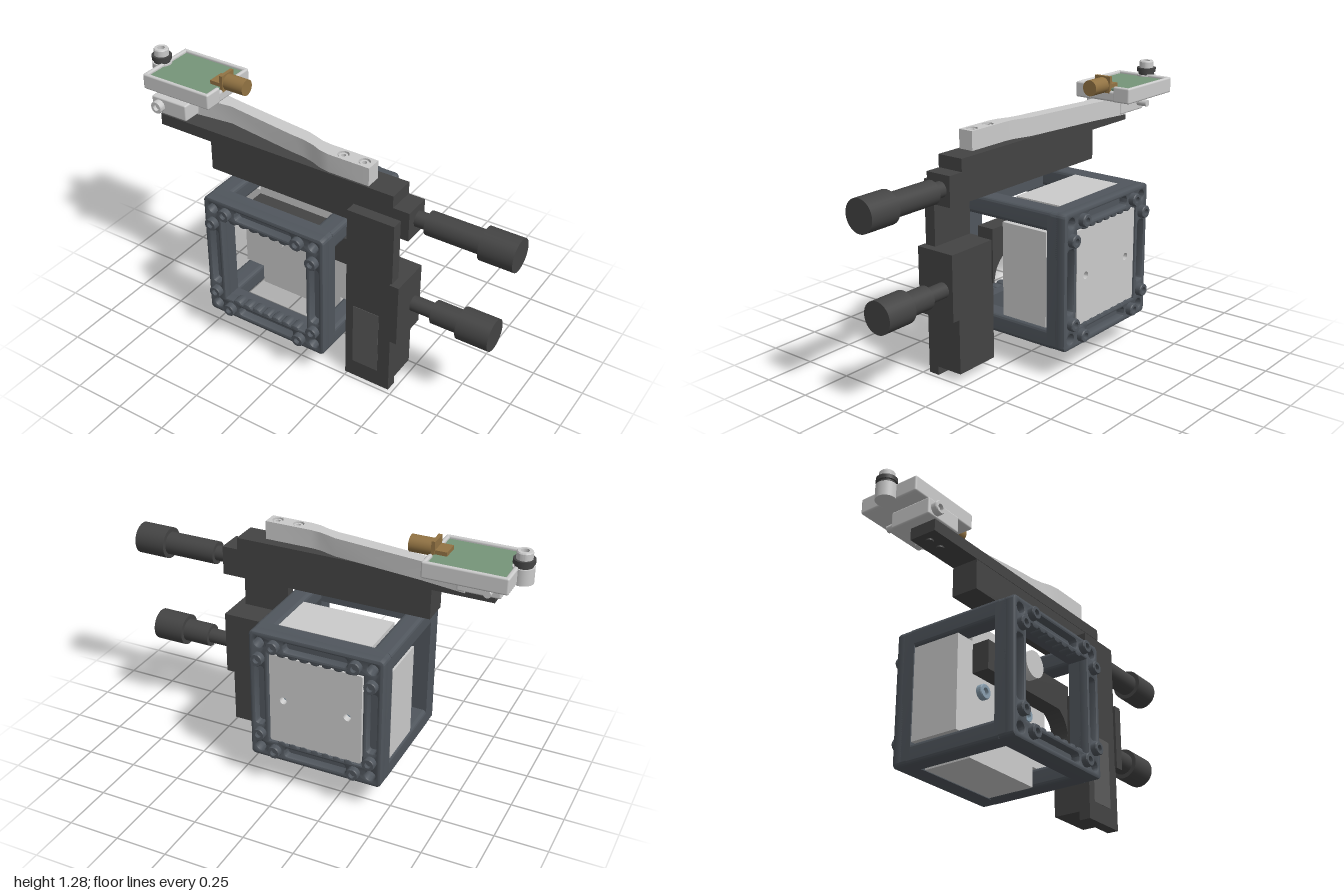
import * as THREE from 'three';
import { RoundedBoxGeometry } from 'three/addons/geometries/RoundedBoxGeometry.js';
import { toCreasedNormals } from 'three/addons/utils/BufferGeometryUtils.js';

const paint = (color) => new THREE.MeshStandardMaterial({ color });
const light = paint(0xcccccc), dark = paint(0x444444), frame = paint(0x50565d);
const steel = paint(0x8aa0b0), brass = paint(0x927343), green = paint(0x769579);

function add(parent, name, geometry, material, x = 0, y = 0, z = 0) {
  const mesh = new THREE.Mesh(geometry, material);
  mesh.name = name;
  mesh.position.set(x, y, z);
  parent.add(mesh);
  return mesh;
}

// Box given by its limits on each axis, optionally with rounded edges
function box(parent, name, material, [x0, x1], [y0, y1], [z0, z1], r = 0) {
  const size = [x1 - x0, y1 - y0, z1 - z0];
  const geometry = r ? new RoundedBoxGeometry(...size, 2, r) : new THREE.BoxGeometry(...size);
  return add(parent, name, geometry, material, (x0 + x1) / 2, (y0 + y1) / 2, (z0 + z1) / 2);
}

// Cylinder running from a to b along one axis; u, v are the other two coordinates in xyz order
function rod(parent, name, material, axis, a, b, r, u, v) {
  const geometry = new THREE.CylinderGeometry(r, r, b - a, 32);
  const m = (a + b) / 2;
  if (axis === 'x') return add(parent, name, geometry.rotateZ(-Math.PI / 2), material, m, u, v);
  if (axis === 'z') return add(parent, name, geometry.rotateX(Math.PI / 2), material, u, v, m);
  return add(parent, name, geometry, material, u, m, v);
}

// Socket-head screw pointing along +z, standing on z = 0
function screwHead(r, h) {
  const profile = [[r, 0], [r, h * 0.85], [r * 0.9, h], [r * 0.5, h], [r * 0.5, h * 0.4], [0, h * 0.4]];
  const geometry = new THREE.LatheGeometry(profile.map((p) => new THREE.Vector2(...p)), 24);
  return toCreasedNormals(geometry.rotateX(Math.PI / 2), 0.5);
}

function roundedRect(path, x0, y0, x1, y1, r) {
  path.moveTo(x0 + r, y0);
  path.lineTo(x1 - r, y0).absarc(x1 - r, y0 + r, r, -Math.PI / 2, 0);
  path.lineTo(x1, y1 - r).absarc(x1 - r, y1 - r, r, 0, Math.PI / 2);
  path.lineTo(x0 + r, y1).absarc(x0 + r, y1 - r, r, Math.PI / 2, Math.PI);
  path.lineTo(x0, y0 + r).absarc(x0 + r, y0 + r, r, Math.PI, Math.PI * 1.5);
  return path;
}

const circle = (x, y, r) => new THREE.Path().absarc(x, y, r, 0, Math.PI * 2);
const polygon = (points) => new THREE.Shape(points.map((p) => new THREE.Vector2(...p)));

function extrude(shape, depth, bevel = 0) {
  return toCreasedNormals(new THREE.ExtrudeGeometry(shape, {
    depth: depth - 2 * bevel, bevelEnabled: bevel > 0, bevelThickness: bevel, bevelSize: bevel,
    bevelOffset: -bevel, bevelSegments: 2, curveSegments: 10,
  }).translate(0, 0, bevel), 0.5);
}

const SIGNS = [-1, 1];
const CORNERS = [[-1, -1], [1, -1], [1, 1], [-1, 1]];

// Square face of the cage: window, rod holes, and on the outer layer slots and shallow scallops
function faceShape(outer) {
  const shape = roundedRect(new THREE.Shape(), -0.33, -0.33, 0.33, 0.33, 0.022);
  const w = 0.235, window = new THREE.Path();
  window.moveTo(-w, -w);
  if (outer) for (let i = -3; i <= 3; i++) window.absellipse(i * 0.056, -w, 0.022, 0.011, Math.PI, 0, true);
  window.lineTo(w, -w).lineTo(w, w);
  if (outer) for (let i = 3; i >= -3; i--) window.absellipse(i * 0.056, w, 0.022, 0.011, 0, -Math.PI, true);
  window.lineTo(-w, w).lineTo(-w, -w);
  shape.holes.push(window);
  for (const [i, j] of CORNERS) shape.holes.push(circle(i * 0.278, j * 0.278, 0.025));
  if (outer) for (const s of SIGNS) {
    const c = s * 0.28;
    shape.holes.push(roundedRect(new THREE.Path(), -0.155, c - 0.023, 0.155, c + 0.023, 0.015));
    shape.holes.push(roundedRect(new THREE.Path(), c - 0.023, -0.155, c + 0.023, 0.155, 0.015));
  }
  return shape;
}

function createCage() {
  const cage = new THREE.Group();
  cage.name = 'cubeCage';
  cage.position.set(-0.148, 0.472, 0);
  const outer = extrude(faceShape(true), 0.06, 0.01), inner = extrude(faceShape(false), 0.058);
  const head = screwHead(0.031, 0.032);
  for (const s of SIGNS) {
    const side = new THREE.Group();
    side.name = s > 0 ? 'frontFace' : 'backFace';
    if (s < 0) side.rotation.y = Math.PI;
    add(side, 'faceSkin', outer, frame, 0, 0, 0.27);
    add(side, 'faceBacking', inner, frame, 0, 0, 0.23);
    for (const [i, j] of CORNERS) {
      add(side, 'cageScrew', head, frame, i * 0.278, j * 0.2, 0.328);
      add(side, 'cageScrew', head, frame, i * 0.2, j * 0.278, 0.328);
    }
    cage.add(side);
  }
  // Four posts joining the faces, bored for rods
  for (const [i, j] of CORNERS) {
    const post = roundedRect(new THREE.Shape(), -0.0475, -0.0475, 0.0475, 0.0475, 0.018);
    post.holes.push(circle(-i * 0.0045, -j * 0.0045, 0.025));
    add(cage, 'cagePost', extrude(post, 0.5), frame, i * 0.2825, j * 0.2825, -0.25);
  }
  // Block in the rear half: its arms fill the side windows, its square tail the back window
  const a = 0.229, b = 0.329;
  const cross = polygon([[-a, -b], [a, -b], [a, -a], [b, -a], [b, a], [a, a], [a, b], [-a, b], [-a, a], [-b, a],
    [-b, -a], [-a, -a]]);
  const tail = roundedRect(new THREE.Shape(), -a, -a, a, a, 0.008);
  for (const s of SIGNS) {
    for (const shape of [cross, tail]) shape.holes.push(circle(s * 0.16, 0, 0.018));
    add(cage, 'blockScrew', screwHead(0.036, 0.03), steel, s * 0.16, 0, 0.023);
    rod(cage, 'blockScrewShank', steel, 'z', -0.29, 0.03, 0.0179, s * 0.16, 0);
  }
  add(cage, 'centreBlock', extrude(cross, 0.25), light, 0, 0, -0.225);
  add(cage, 'blockTail', extrude(tail, 0.1), light, 0, 0, -0.324);
  return cage;
}

// Thumb-screw drive: neck, sleeve and knob along +x
function createDrive(y, x1, x2, x3) {
  const drive = new THREE.Group();
  drive.name = 'driveScrew';
  rod(drive, 'neck', dark, 'x', 0.5, x1, 0.037, y, 0.095);
  rod(drive, 'sleeve', dark, 'x', x1, x2, 0.056, y, 0.095);
  rod(drive, 'knob', dark, 'x', x2, x3, 0.077, y, 0.095);
  return drive;
}

function createStages() {
  const g = new THREE.Group();
  g.name = 'stages';
  // Vertical stage
  box(g, 'verticalRail', dark, [0.24, 0.477], [0, 0.938], [0.172, 0.228]);
  box(g, 'railPanel', paint(0x5a5a5a), [0.28, 0.415], [0.09, 0.42], [0.2, 0.23]);
  box(g, 'verticalBody', dark, [0.24, 0.477], [0.042, 0.63], [0.036, 0.173]);
  box(g, 'verticalEndBlock', dark, [0.47, 0.517], [0.31, 0.63], [0.036, 0.24]);
  g.add(createDrive(0.453, 0.63, 0.767, 0.926));
  // Horizontal stage
  box(g, 'horizontalBody', dark, [-0.54, 0.437], [0.846, 0.995], [0.04, 0.173]);
  box(g, 'horizontalEndBlock', dark, [0.43, 0.517], [0.846, 0.99], [0.04, 0.173]);
  box(g, 'horizontalSlide', dark, [-0.83, 0.437], [0.993, 1.05], [0.04, 0.175]);
  for (const x of [-0.78, -0.71]) rod(g, 'slideScrew', dark, 'y', 0.985, 1, 0.018, x, 0.105);
  g.add(createDrive(0.921, 0.575, 0.84, 1));
  // Bracket from the vertical stage into the cage, with a curved foot
  const bracket = new THREE.Shape();
  bracket.moveTo(-0.376, 0.54);
  bracket.lineTo(0.17, 0.54).quadraticCurveTo(0.235, 0.5, 0.24, 0.42);
  bracket.lineTo(0.25, 0.42).lineTo(0.25, 0.683).lineTo(-0.376, 0.683);
  add(g, 'bracket', extrude(bracket, 0.088), dark, 0, 0, 0.028);
  rod(g, 'bracketStem', light, 'z', 0.11, 0.185, 0.02, -0.178, 0.606);
  rod(g, 'bracketButton', light, 'z', 0.178, 0.226, 0.065, -0.178, 0.606);
  return g;
}

function createArm() {
  const g = new THREE.Group();
  g.name = 'arm';
  g.position.x = 0.004;
  // Slim arm, waisted before its mounting tongue; plan drawn as x, -z and laid flat
  const plan = polygon([[-0.72, 0.035], [-0.5, -0.003], [-0.07, -0.056], [0.02, -0.085], [0.07, -0.09],
    [0.305, -0.09], [0.305, -0.166], [0.1, -0.166], [0.05, -0.158], [0, -0.138], [-0.06, -0.124],
    [-0.13, -0.118], [-0.5, -0.066], [-0.72, -0.09]]);
  for (const x of [0.153, 0.26]) {
    plan.holes.push(circle(x, -0.129, 0.027));
    add(g, 'armScrew', screwHead(0.023, 0.03).rotateX(-Math.PI / 2), light, x, 1.105, 0.129);
    rod(g, 'armScrewSeat', light, 'y', 1.055, 1.106, 0.0268, x, 0.129);
  }
  add(g, 'armBar', extrude(plan, 0.09).rotateX(-Math.PI / 2), light, 0, 1.05, 0);
  box(g, 'clamp', light, [-0.88, -0.68], [1.054, 1.136], [-0.035, 0.178], 0.008);
  add(g, 'clampScrew', screwHead(0.031, 0.03), light, -0.835, 1.094, 0.177);
  rod(g, 'clampPin', light, 'z', -0.09, 0, 0.017, -0.835, 1.094);
  return g;
}

function createTray() {
  const g = new THREE.Group();
  g.name = 'sensorTray';
  box(g, 'trayFloor', light, [-0.935, -0.558], [1.142, 1.195], [-0.156, 0.156], 0.012);
  box(g, 'trayRimLeft', light, [-0.94, -0.918], [1.142, 1.22], [-0.156, 0.156], 0.009);
  for (const s of SIGNS) {
    box(g, 'trayRimSide', light, [-0.94, -0.556], [1.142, 1.22], [s * 0.148 - 0.01, s * 0.148 + 0.01], 0.009);
    box(g, 'trayRimEnd', light, [-0.576, -0.556], [1.142, 1.22], [s * 0.11 - 0.046, s * 0.11 + 0.046], 0.009);
  }
  box(g, 'circuitBoard', green, [-0.92, -0.572], [1.19, 1.207], [-0.14, 0.14]);
  // Brass connector
  box(g, 'connectorTab', brass, [-0.63, -0.56], [1.2, 1.226], [-0.042, 0.042]);
  box(g, 'connectorFlange', brass, [-0.575, -0.558], [1.177, 1.265], [-0.044, 0.044]);
  rod(g, 'connectorBarrel', brass, 'x', -0.56, -0.451, 0.039, 1.22, 0);
  // Pivot hub and screw
  rod(g, 'pivotHub', light, 'y', 1.142, 1.215, 0.048, -0.952, 0);
  rod(g, 'pivotWasher', dark, 'y', 1.213, 1.232, 0.04, -0.952, 0);
  rod(g, 'pivotCollar', dark, 'y', 1.23, 1.25, 0.048, -0.952, 0);
  add(g, 'pivotScrew', screwHead(0.036, 0.037).rotateX(-Math.PI / 2), light, -0.952, 1.248, 0);
  return g;
}

export function createModel() {
  const model = new THREE.Group();
  model.name = 'opticalPositioner';
  model.add(createCage(), createStages(), createArm(), createTray());
  return model;
}
